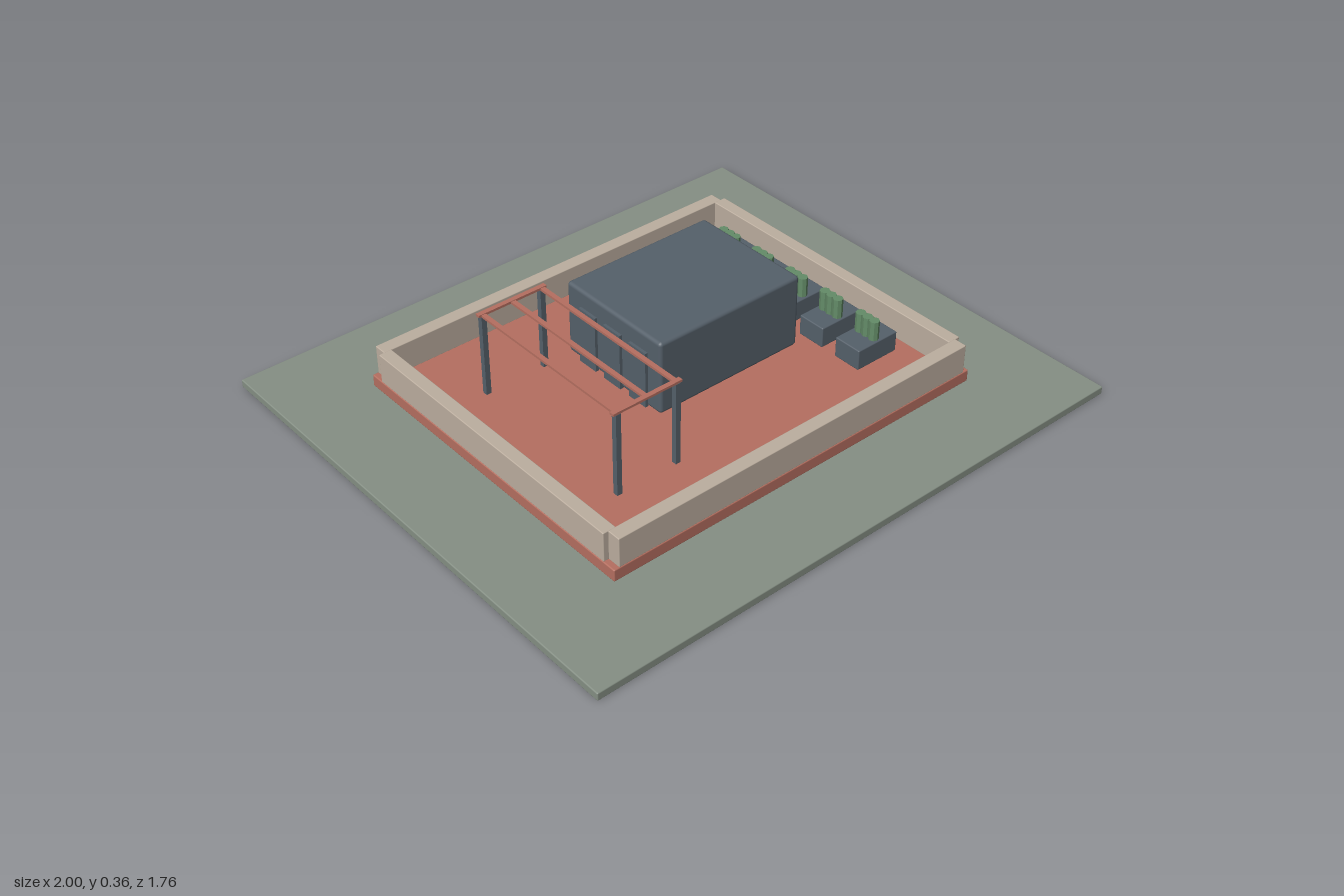
import * as THREE from 'three';
import { RoundedBoxGeometry } from 'three/addons/geometries/RoundedBoxGeometry.js';

export function createModel() {
  const model = new THREE.Group();
  model.name = 'rooftopTerrace';

  const material = (name, color) => {
    const m = new THREE.MeshStandardMaterial({ color });
    m.name = name;
    return m;
  };
  const sage = material('sageGround', 0x858f84);
  const terracotta = material('terracotta', 0xb56f60);
  const stone = material('paleStone', 0xbcae9f);
  const slate = material('slate', 0x55606a);
  const leaf = material('leafGreen', 0x648c68);

  // Box given by its extents on each axis, with an optional small bevel
  function box(name, mat, [x0, x1], [y0, y1], [z0, z1], bevel = 0, parent = model) {
    const size = [x1 - x0, y1 - y0, z1 - z0];
    const geometry = bevel
      ? new RoundedBoxGeometry(...size, 2, bevel)
      : new THREE.BoxGeometry(...size);
    const mesh = new THREE.Mesh(geometry, mat);
    mesh.name = name;
    mesh.position.set((x0 + x1) / 2, (y0 + y1) / 2, (z0 + z1) / 2);
    parent.add(mesh);
    return mesh;
  }

  // Ground and raised floor
  box('ground', sage, [-1, 1], [0, 0.028], [-0.88, 0.88], 0.004);
  box('terraceFloor', terracotta, [-0.705, 0.705], [0.028, 0.07], [-0.587, 0.587], 0.004);

  // Parapet walls, leaving small notches at the corners
  for (const s of [-1, 1]) {
    const span = (a, b) => (s > 0 ? [a, b] : [-b, -a]);
    box('longWall', stone, [-0.685, 0.685], [0.068, 0.17], span(0.538, 0.585), 0.003);
    box('sideWall', stone, span(0.658, 0.703), [0.068, 0.17], [-0.54, 0.54], 0.003);
  }

  // Pavilion with three door panels on its right side
  box('pavilion', slate, [-0.165, 0.395], [0.07, 0.328], [-0.297, 0.145], 0.012);
  for (const z of [-0.19, -0.072, 0.048]) {
    box('doorPanel', slate, [-0.175, -0.163], [0.07, 0.268], [z - 0.039, z + 0.039]);
  }

  // Pergola: four posts, two end beams and three slats
  const pergola = new THREE.Group();
  pergola.name = 'pergola';
  model.add(pergola);
  for (const z of [-0.283, 0.342]) {
    for (const x of [-0.491, -0.273]) {
      box('pergolaPost', slate, [x - 0.009, x + 0.009], [0.07, 0.356], [z - 0.009, z + 0.009], 0, pergola);
    }
    box('pergolaBeam', terracotta, [-0.508, -0.257], [0.356, 0.364], [z - 0.008, z + 0.008], 0, pergola);
  }
  for (const x of [-0.491, -0.382, -0.273]) {
    box('pergolaSlat', terracotta, [x - 0.008, x + 0.008], [0.354, 0.362], [-0.283, 0.342], 0, pergola);
  }

  // Row of planters, each with three clipped shrubs
  const shrubGeometry = new THREE.CylinderGeometry(0.017, 0.017, 0.075, 8).toNonIndexed();
  shrubGeometry.computeVertexNormals();
  for (let i = -2; i <= 2; i++) {
    const z = i * 0.159;
    const planter = new THREE.Group();
    planter.name = 'planter';
    model.add(planter);
    box('planterBox', slate, [0.442, 0.608], [0.07, 0.142], [z - 0.051, z + 0.051], 0.004, planter);
    for (const dz of [-0.029, 0, 0.029]) {
      const shrub = new THREE.Mesh(shrubGeometry, leaf);
      shrub.name = 'shrub';
      shrub.position.set(0.526, 0.172, z + dz);
      planter.add(shrub);
    }
  }

  return model;
}
